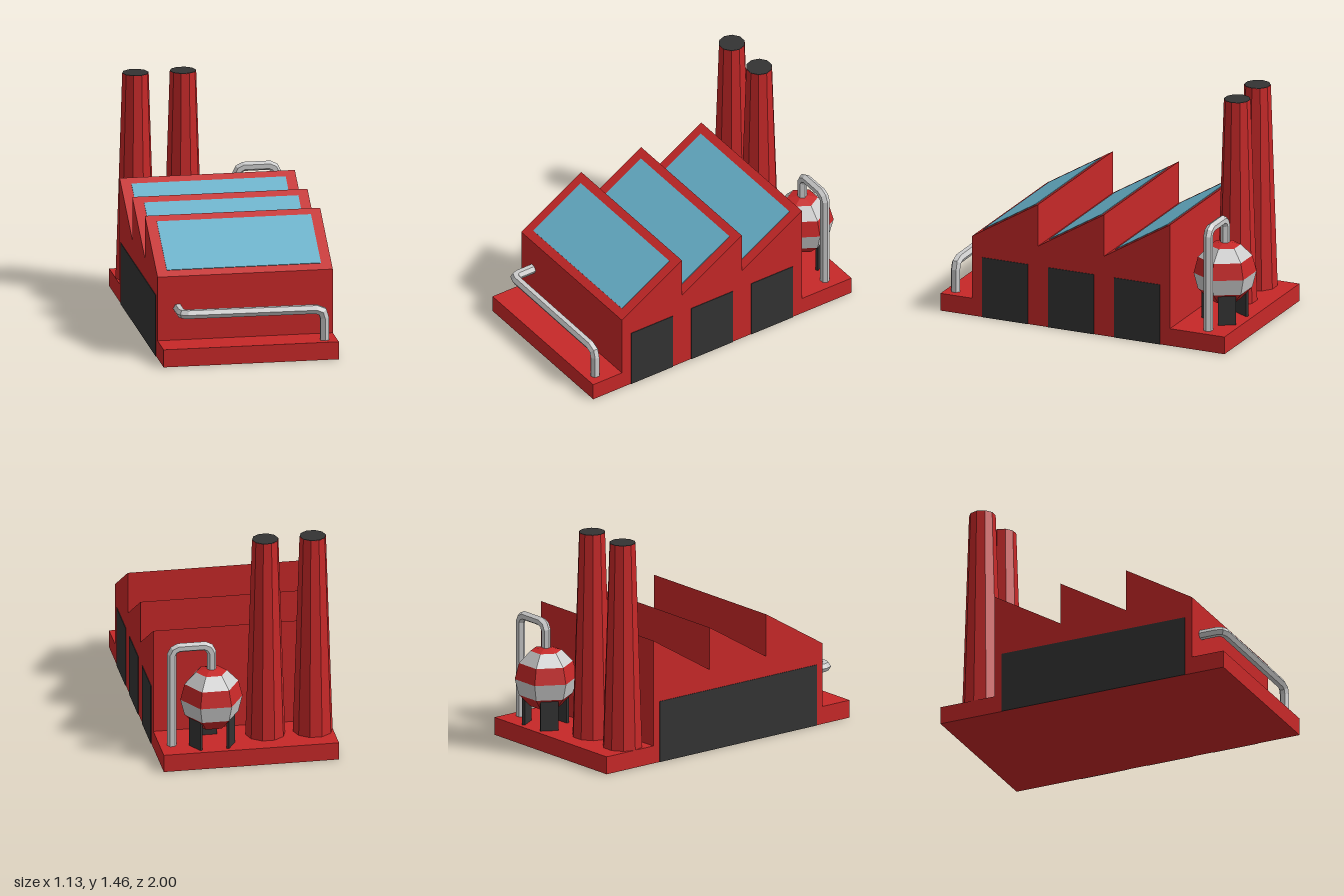
import * as THREE from 'three';

const mat = (color) => new THREE.MeshStandardMaterial({ color, flatShading: true });
const RED = mat(0xc62828), DARK = mat(0x333333), GLASS = mat(0x67b1ca), GREY = mat(0xcccccc);
const W = 0.5625;      // half width of the building
const BASE = 0.115;    // height of the base slab
const EAVE = 0.532, RIDGE = 0.81, BAY = 0.46, FRONT = 0.78;

// Angular pipe: a ring is slid along each straight run to the mitre plane of the next joint
function pipeGeometry(path, radius, sides) {
  const pts = path.map((p) => new THREE.Vector3(...p));
  const dirs = pts.slice(1).map((p, i) => p.clone().sub(pts[i]).normalize());
  const turn = new THREE.Quaternion().setFromUnitVectors(new THREE.Vector3(0, 0, 1), dirs[0]);
  let ring = [];
  for (let i = 0; i < sides; i++) {
    const a = (i / sides) * Math.PI * 2;
    ring.push(new THREE.Vector3(Math.cos(a), Math.sin(a), 0).multiplyScalar(radius)
      .applyQuaternion(turn).add(pts[0]));
  }
  const pos = [], idx = [];
  pts.forEach((p, j) => {
    if (j > 0) {
      const along = dirs[j - 1];
      const normal = along.clone().add(dirs[j] || along).normalize();
      ring = ring.map((v) => v.clone().addScaledVector(along,
        p.clone().sub(v).dot(normal) / along.dot(normal)));
    }
    ring.forEach((v) => pos.push(v.x, v.y, v.z));
    if (j === 0) return;
    for (let i = 0; i < sides; i++) {
      const k = (i + 1) % sides, a = (j - 1) * sides, b = j * sides;
      idx.push(a + i, a + k, b + k, a + i, b + k, b + i);
    }
  });
  const g = new THREE.BufferGeometry();
  g.setAttribute('position', new THREE.Float32BufferAttribute(pos, 3));
  g.setIndex(idx);
  g.computeVertexNormals();
  return g;
}

export function createModel() {
  const model = new THREE.Group();
  model.name = 'factory';
  const add = (name, geometry, material, x = 0, y = 0, z = 0, parent = model) => {
    const mesh = new THREE.Mesh(geometry, material);
    mesh.name = name;
    mesh.position.set(x, y, z);
    parent.add(mesh);
    return mesh;
  };

  // Base and sawtooth hall, one side profile extruded across the width
  const profile = [[-0.98, 0], [1, 0], [1, BASE], [FRONT, BASE], [FRONT, EAVE]];
  for (let i = 1; i <= 3; i++) {
    profile.push([FRONT - BAY * i, RIDGE]);
    profile.push([FRONT - BAY * i, i < 3 ? EAVE : BASE]);
  }
  profile.push([-0.98, BASE]);
  const hall = new THREE.ExtrudeGeometry(
    new THREE.Shape(profile.map(([z, y]) => new THREE.Vector2(z, y))),
    { depth: 2 * W, bevelEnabled: false });
  hall.rotateY(-Math.PI / 2).translate(W, 0, 0);
  add('hall', hall, RED);

  // Skylights and left side doors, one of each per bay
  const slope = Math.atan2(RIDGE - EAVE, BAY);
  for (let i = 0; i < 3; i++) {
    const z = FRONT - BAY * (i + 0.5);
    add('skylight', new THREE.BoxGeometry(0.99, 0.008, 0.365 / Math.cos(slope)), GLASS,
      0, (EAVE + RIDGE) / 2, z).rotation.x = slope;
    add('door', new THREE.BoxGeometry(0.008, 0.4, 0.32), DARK, W, 0.2, z);
  }
  // Long door on the right side
  add('longDoor', new THREE.BoxGeometry(0.008, 0.4, 1.28), DARK, -W, 0.2, 0.09);

  // Tapered chimneys with dark mouths
  for (const x of [-0.435, -0.13]) {
    const h = 1.455 - BASE;
    add('chimney', new THREE.CylinderGeometry(0.085, 0.128, h, 10).rotateY(Math.PI / 10), RED,
      x, BASE + h / 2, -0.747);
    add('chimneyMouth', new THREE.CylinderGeometry(0.084, 0.084, 0.006, 10).rotateY(Math.PI / 10),
      DARK, x, 1.455, -0.747);
  }

  // Six-sided tank in alternating bands
  const tank = new THREE.Group();
  tank.name = 'tank';
  tank.position.set(0.23, 0.425, -0.83);
  model.add(tank);
  const R = 0.2, RY = 0.21;
  for (let i = 0; i < 6; i++) {
    const a = (i / 6) * Math.PI, b = ((i + 1) / 6) * Math.PI;
    const top = RY * Math.cos(a), bottom = RY * Math.cos(b);
    add('tankBand',
      new THREE.CylinderGeometry(R * Math.sin(a), R * Math.sin(b), top - bottom, 6, 1, true)
        .rotateY(Math.PI / 6),
      i % 2 ? GREY : RED, 0, (top + bottom) / 2, 0, tank);
  }
  // Three plate legs around the tank
  for (let i = 0; i < 3; i++) {
    const a = (i / 3) * Math.PI * 2;
    add('tankLeg', new THREE.BoxGeometry(0.115, 0.2, 0.018), DARK,
      0.13 * Math.sin(a), BASE - 0.425 + 0.1, 0.13 * Math.cos(a), tank).rotation.y = a;
  }

  // Pipe from the tank top over and down to the base
  add('tankPipe', pipeGeometry([
    [0.23, 0.6, -0.83], [0.23, 0.74, -0.83], [0.245, 0.77, -0.83], [0.275, 0.785, -0.83],
    [0.44, 0.785, -0.83], [0.47, 0.77, -0.83], [0.485, 0.74, -0.83], [0.485, BASE, -0.83],
  ], 0.03, 6), GREY);

  // Pipe from the front wall, along it and down to the base
  add('frontPipe', pipeGeometry([
    [-0.432, 0.322, FRONT - 0.01], [-0.432, 0.322, 0.895], [-0.422, 0.322, 0.92],
    [-0.39, 0.322, 0.932], [0.43, 0.317, 0.932], [0.47, 0.3, 0.932],
    [0.482, 0.26, 0.932], [0.482, BASE, 0.932],
  ], 0.031, 6), GREY);

  return model;
}
